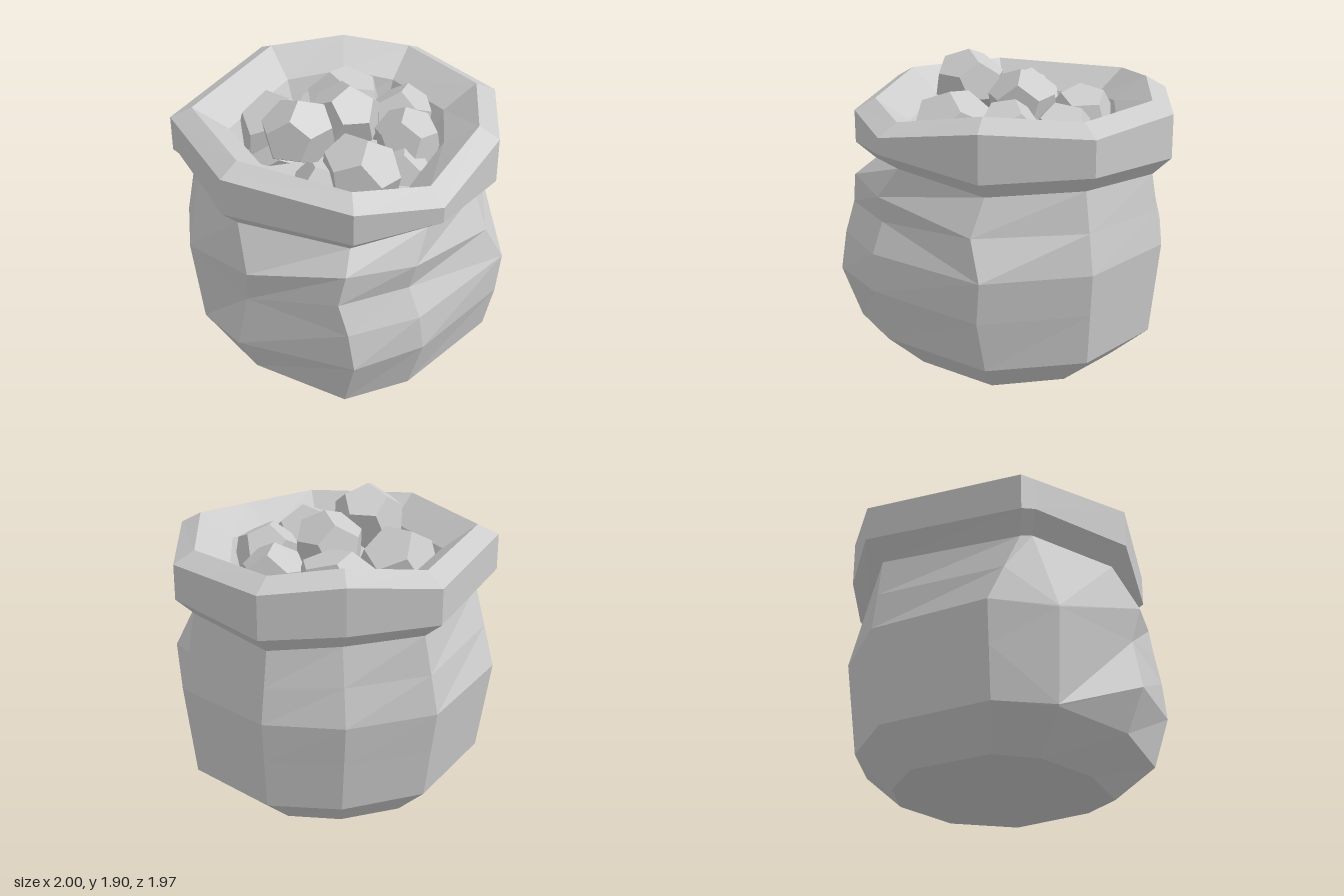
import * as THREE from 'three';

const V = (x, y, z) => new THREE.Vector3(x, y, z);
const material = new THREE.MeshStandardMaterial({ color: 0xcccccc, flatShading: true });

// Skins a list of equal-length rings from top to bottom, skipping collapsed triangles
function loft(rings) {
  const pos = [];
  const tri = (a, b, c) => {
    const area = b.clone().sub(a).cross(c.clone().sub(a)).length();
    if (area > 1e-6) for (const p of [a, b, c]) pos.push(p.x, p.y, p.z);
  };
  for (let i = 0; i + 1 < rings.length; i++) {
    const up = rings[i], low = rings[i + 1], n = up.length;
    for (let j = 0; j < n; j++) {
      const k = (j + 1) % n;
      tri(low[j], low[k], up[k]);
      tri(low[j], up[k], up[j]);
    }
  }
  const g = new THREE.BufferGeometry();
  g.setAttribute('position', new THREE.Float32BufferAttribute(pos, 3));
  g.computeVertexNormals();
  return g;
}

// Rim corners with crest height, from the front centre round by the model's left
const rim = [
  [0.01, 1.72, 0.97], [0.74, 1.68, 0.65], [1, 1.64, 0.2],
  [0.87, 1.74, -0.43], [0.44, 1.7, -0.92], [-0.27, 1.71, -0.98],
  [-0.66, 1.76, -0.68], [-1, 1.71, -0.25], [-0.74, 1.7, 0.73],
].map((p) => V(...p));
// A tenth corner just past the front right one
rim.push(rim[8].clone().lerp(rim[0], 0.13));

// Height of the tied neck below each rim corner
const neckY = [1.3, 1.3, 1.36, 1.27, 1.3, 1.26, 1.29, 1.31, 1.29, 1.32];

// Widest outline of the cloth, x and z, in the same order
const belly = [
  [0.12, 0.915], [0.78, 0.73], [0.96, 0.32], [0.93, -0.48], [0.43, -0.91],
  [-0.25, -0.945], [-0.66, -0.68], [-0.96, -0.2], [-0.85, 0.57], [-0.52, 0.83],
];

// Creases by column: ridge, groove and lower bulge
const creases = {
  0: { ridge: V(0.17, 1.05, 0.95), bulge: V(0.1, 0.5, 0.985) },
  1: { ridge: V(0.72, 1.19, 0.69), groove: V(0.7, 1, 0.73), bulge: V(0.83, 0.59, 0.73) },
  2: { ridge: V(0.91, 1.17, 0.31), groove: V(0.87, 1, 0.32), bulge: V(0.98, 0.59, 0.3) },
  3: { ridge: V(0.87, 1.05, -0.37), bulge: V(0.92, 0.56, -0.45) },
  9: { ridge: V(-0.52, 0.83, 0.83), bulge: V(-0.48, 0.25, 0.785) },
};

// One cloth column from neck to base
function clothColumn([x, z], j) {
  const neck = V(rim[j].x * 0.87, neckY[j], rim[j].z * 0.89);
  const wide = V(x, 0.82, z);
  const low = V(x * 0.91, 0.24, z * 0.94);
  const base = V(x * 0.68, 0.02, z * 0.68);
  const {
    ridge = neck.clone().lerp(wide, 0.5),
    groove = wide,
    bulge = wide.clone().lerp(low, 0.45),
  } = creases[j] ?? {};
  return [neck, ridge, groove, wide, bulge, low, base];
}

// Large stones: x, y, z, radius
const stones = [
  [0, 1.69, 0.36, 0.225], [-0.02, 1.61, -0.05, 0.22], [-0.27, 1.48, -0.3, 0.25],
  [0.09, 1.48, -0.42, 0.22], [0.34, 1.53, -0.22, 0.2], [0.36, 1.5, 0.2, 0.25],
  [-0.35, 1.45, 0.21, 0.28],
];
// Small stones fill the gaps beneath
for (let i = 0; i < 5; i++) {
  const a = 0.5 + i * Math.PI * 0.4;
  stones.push([0.42 * Math.sin(a), 1.4, 0.42 * Math.cos(a), 0.18]);
}

export function createModel() {
  const group = new THREE.Group();
  const add = (name, geometry) => {
    const mesh = new THREE.Mesh(geometry, material);
    mesh.name = name;
    group.add(mesh);
    return mesh;
  };

  const columns = belly.map(clothColumn);
  const cloth = columns[0].map((_, row) => columns.map((c) => c[row]));
  const centre = (y) => rim.map(() => V(0, y, 0));
  const rimRing = (s, height) => rim.map((p, j) => V(p.x * s, height(p, j), p.z * s));

  // Sack body, closed at the bottom
  add('sackBody', loft([...cloth, centre(0)]));

  // Rolled rim from the inner floor over the crest to the neck
  add('sackRim', loft([
    centre(1.4),
    rimRing(0.59, () => 1.4),
    rimRing(0.66, (p) => p.y - 0.15),
    rimRing(0.87, (p) => p.y),
    rimRing(1, (p) => p.y - 0.07),
    rimRing(1, (p, j) => neckY[j] + 0.11),
    cloth[0],
  ]));

  // Faceted stones, each turned and squashed differently
  stones.forEach(([x, y, z, r], i) => {
    const stone = add('stone' + (i + 1), new THREE.DodecahedronGeometry(r));
    stone.position.set(x, y, z);
    stone.rotation.set(i * 1.3, i * 2.1, i * 0.7 + 0.365);
    stone.scale.set(1, 0.94 + 0.06 * Math.sin(i * 2), 1.06);
  });
  return group;
}
